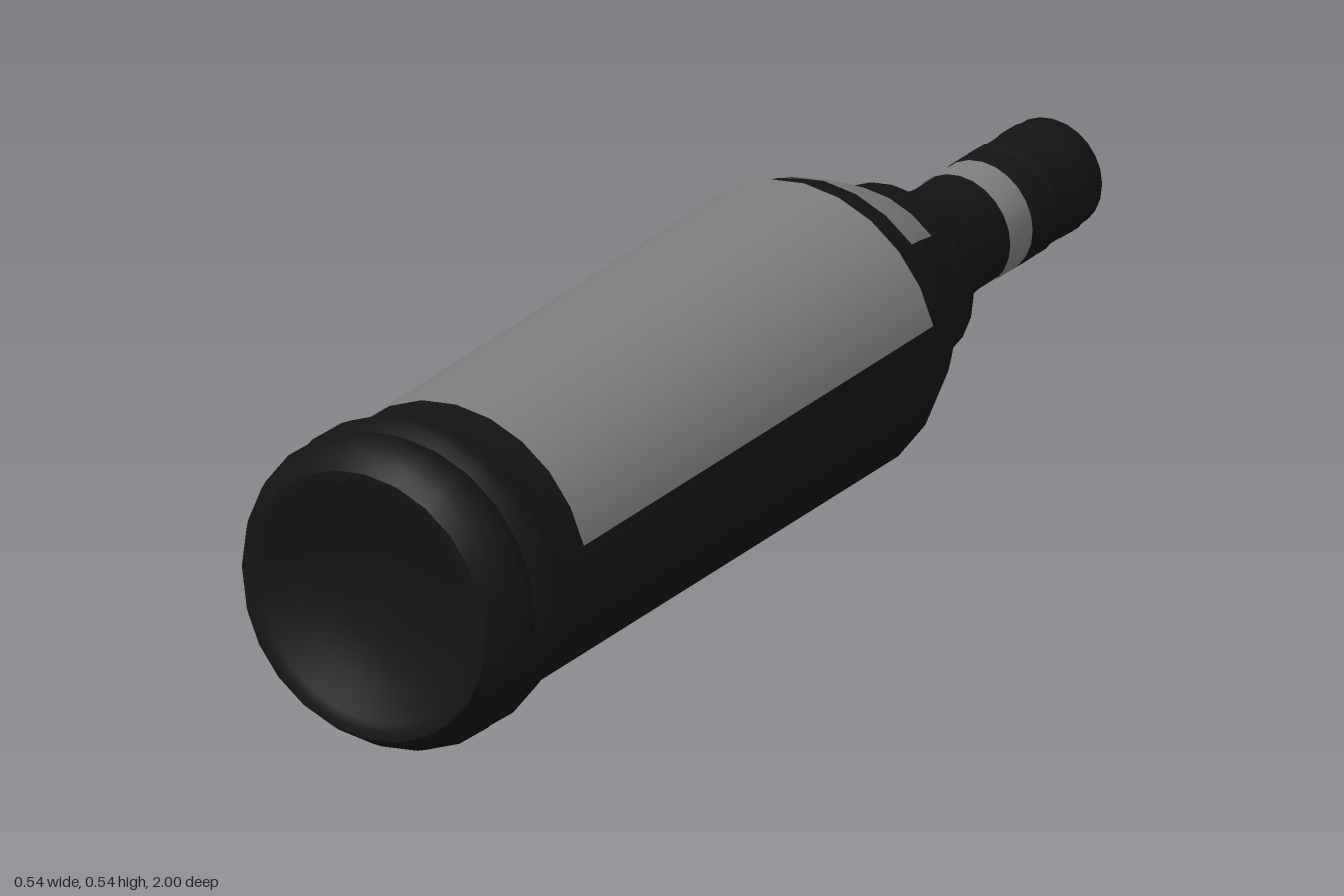
import * as THREE from 'three';
import { toCreasedNormals } from 'three/addons/utils/BufferGeometryUtils.js';

const SIDES = 24;
const AXIS_Y = 0.27;
const glass = new THREE.MeshStandardMaterial({ color: 0x141414 });
const paper = new THREE.MeshStandardMaterial({ color: 0x808080, side: THREE.DoubleSide });

// Profiles are [radius, distance along the axis], running from base (-1) to mouth (+1).
const BODY = [
  [0, -0.95], [0.08, -0.955], [0.15, -0.97], [0.2, -0.995], [0.215, -1], [0.23, -1],
  [0.248, -0.975], [0.262, -0.95], [0.268, -0.93], [0.263, -0.91], [0.254, -0.893],
  [0.263, -0.876], [0.269, -0.86], [0.264, -0.835], [0.252, -0.81], [0.249, -0.79],
  [0.249, -0.735], [0.251, 0.275], [0.246, 0.3], [0.234, 0.33], [0.218, 0.37],
  [0.2, 0.405], [0.176, 0.45], [0.16, 0.485], [0.157, 0.51], [0.154, 0.53],
  [0.138, 0.55], [0.119, 0.565], [0.107, 0.59], [0.099, 0.63], [0.094, 0.68], [0.094, 0.79],
];
const CAP = [
  [0.094, 0.79], [0.097, 0.8], [0.097, 0.835], [0.093, 0.845], [0.097, 0.855],
  [0.097, 0.87], [0.094, 0.88], [0.094, 0.93], [0.096, 0.945], [0.096, 0.965],
  [0.093, 0.975], [0.093, 0.995], [0.09, 1], [0, 1],
];

// Lathes a profile lying along z; an arc is centred on the upper side.
function turned(name, profile, material, arcDegrees = 360, offset = 0) {
  const arc = THREE.MathUtils.degToRad(arcDegrees);
  const points = profile.map(([r, d]) => new THREE.Vector2(r + offset, d));
  let geometry = new THREE.LatheGeometry(points, Math.round(SIDES * arcDegrees / 360), -arc / 2, arc);
  if (arcDegrees === 360) geometry = toCreasedNormals(geometry, Math.PI / 4);
  geometry.rotateX(-Math.PI / 2);
  const mesh = new THREE.Mesh(geometry, material);
  mesh.name = name;
  mesh.position.y = AXIS_Y;
  return mesh;
}

export function createModel() {
  const bottle = new THREE.Group();
  bottle.name = 'bottle';
  bottle.add(
    // Glass with recessed base, ribbed foot, shoulder and neck
    turned('bottleBody', BODY, glass),
    turned('cap', CAP, glass),
    // Paper labels wrapped over the upper side
    turned('mainLabel', [[0.249, -0.735], [0.251, 0.275]], paper, 150, 0.002),
    turned('shoulderLabel', BODY.filter(([, d]) => d >= 0.33 && d <= 0.45), paper, 90, 0.003),
    // Band all around the neck
    turned('neckBand', [[0.094, 0.725], [0.094, 0.79]], paper, 360, 0.002),
  );
  return bottle;
}
